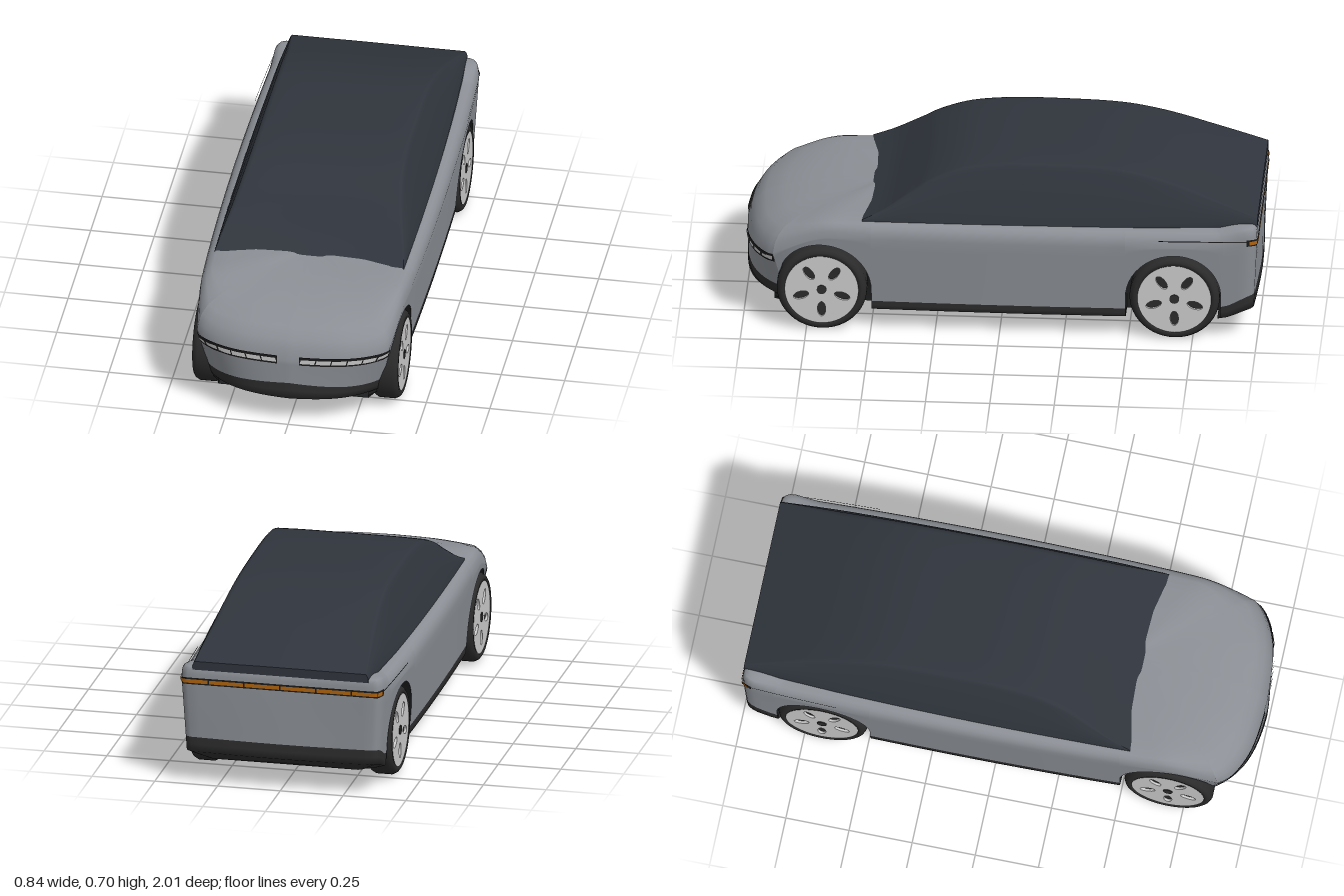
import * as THREE from 'three';

const { clamp, lerp, smoothstep } = THREE.MathUtils;
const material = (color) => new THREE.MeshStandardMaterial({ color, side: THREE.DoubleSide });
const paint = material(0x8c9096), glass = material(0x30353d), trim = material(0x2e2e2e);
const rubber = material(0x2b2b2b), floorMat = material(0x1e1f20), alloy = material(0xcccccc);
const lamp = material(0xe6e6e6), amber = material(0xb0640f), black = material(0x1a1a1a);

const ARCHES = [0.69, -0.68], ARCH_R = 0.19, AXLE_Y = 0.175, WELL_X = 0.295;

// Surface through a list of columns of points
function grid(name, cols, mat, skip = () => false) {
  const n = cols[0].length, index = [];
  for (let i = 0; i < cols.length - 1; i++) {
    if (skip(i)) continue;
    for (let j = 0; j < n - 1; j++) {
      const a = i * n + j, b = a + n;
      index.push(a, b, b + 1, a, b + 1, a + 1);
    }
  }
  const g = new THREE.BufferGeometry();
  g.setAttribute('position', new THREE.Float32BufferAttribute(cols.flat(2), 3));
  g.setIndex(index);
  g.computeVertexNormals();
  const mesh = new THREE.Mesh(g, mat);
  mesh.name = name;
  return mesh;
}

// Plan outline: rounded nose, bowed sides, squared tail
const sideX = (z) => {
  const t = (z + 0.15) / 0.95;
  return 0.422 - 0.023 * t * t - 0.008 * t ** 8;
};
const spline = (pts) => new THREE.SplineCurve(pts.map(([x, z]) => new THREE.Vector2(x, z)));
const nose = spline([[0, 1], [0.12, 0.993], [0.21, 0.98], [0.28, 0.957], [0.33, 0.93], [0.362, 0.905], [0.38, 0.88]]);

const frontW = (z) => smoothstep(z, 0.65, 0.99);
const rearW = (z) => smoothstep(-z, 0.85, 1);
const blend = (z, side, front, rear) => lerp(lerp(side, front, frontW(z)), rear, rearW(z));

// Moves a plan point towards the car's spine
function inset(x, z, d) {
  const sz = clamp(z, -0.6, 0.45), len = Math.hypot(x, z - sz) || 1, k = Math.min(1, d / len);
  return [x * (1 - k), lerp(z, sz, k)];
}
// Point on the flank at height y, raised by out
function skin(x, z, y, out = 0) {
  const t = Math.max(0, (blend(z, 0.4, 0.29, 0.42) - y) / 0.3);
  const [px, pz] = inset(x, z, t * (x / 0.37) ** 2 * (0.02 + 0.09 * frontW(z)) - out);
  return [px, y, pz];
}

// Shoulder rows: inset and height at side, front and rear
const SHOULDER = [
  [0.004, 0.425, 0.012, 0.335, 0, 0.45], [0.012, 0.442, 0.032, 0.368, 0.004, 0.47],
  [0.025, 0.455, 0.07, 0.402, 0.012, 0.48], [0.045, 0.463, 0.15, 0.43, 0.03, 0.484],
  [0.1, 0.468, 0.25, 0.45, 0.06, 0.485], [0.2, 0.473, 0.38, 0.464, 0.12, 0.486],
  [9, 0.475, 9, 0.472, 9, 0.487],
];

// Samples along half the outline, front to rear
function outline() {
  const half = [];
  const add = (x, z, arch = 0) => {
    const tail = smoothstep(-z, 0.87, 1);
    let low = z >= 0.88 ? 0.16 + 0.03 * (1 - x / 0.38) : lerp(z < -0.86 ? 0.14 : 0.125, 0.19, tail);
    if (arch) low = arch;
    half.push({ x, z, low, arch: !!arch, bot: 0.09 + 0.03 * frontW(z) ** 2 + 0.04 * tail });
  };
  for (let i = 0; i <= 28; i++) { const p = nose.getPointAt(i / 28); add(p.x, p.y); }
  ARCHES.forEach((c, k) => {
    if (k) add(sideX(c + ARCH_R), c + ARCH_R);
    for (let i = 0; i <= 24; i++) {
      const a = (i / 24) * Math.PI, z = c + ARCH_R * Math.cos(a);
      add(sideX(z), z, AXLE_Y + ARCH_R * Math.sin(a));
    }
    add(sideX(c - ARCH_R), c - ARCH_R);
    if (!k) for (let z = 0.4; z > -0.45; z -= 0.1) add(sideX(z), z);
  });
  for (const z of [-0.9, -0.93, -0.955]) add(sideX(z), z);
  for (const [x, z] of [[0.398, -0.975], [0.388, -0.991], [0.37, -1], [0.33, -1], [0.2, -1], [0.1, -1], [0, -1]]) add(x, z);
  return half;
}

function bodyColumn({ x, z, low }) {
  const top = blend(z, 0.4, 0.29, 0.42), col = [];
  for (let j = 0; j <= 6; j++) col.push(skin(x, z, lerp(low, top, j / 6)));
  for (const [si, sy, fi, fy, ri, ry] of SHOULDER) {
    const [px, pz] = inset(x, z, blend(z, si, fi, ri));
    col.push([px, blend(z, sy, fy, ry), pz]);
  }
  return col;
}

const underEdge = ({ x, z, bot }) => {
  const p = skin(x, z, bot), [px, pz] = inset(p[0], p[2], 0.02 + 0.08 * clamp((Math.abs(z) - 0.88) / 0.1, 0, 1));
  return [px, 0.08, pz];
};

// Fastback glasshouse lofted along the roof line
function makeCabin() {
  const roof = spline([[0.535, 0.467], [0.45, 0.51], [0.35, 0.577], [0.27, 0.627], [0.15, 0.672], [0, 0.692],
    [-0.15, 0.695], [-0.4, 0.688], [-0.55, 0.665], [-0.7, 0.622], [-0.85, 0.565], [-1, 0.505]]).getPoints(55);
  const cols = roof.map(({ x: z, y }) => {
    const base = 0.465 + 0.02 * smoothstep(-z, 0, 1), h = Math.max(0, y - base), r = Math.min(1, h / 0.12);
    const b = 0.378 - (z > 0 ? 0.02 : 0.028) * z * z, xr = b - 0.34 * h;
    const half = [[b, base - 0.015], [b, base], [lerp(b, xr, 0.35) + 0.004 * r, base + h * 0.32],
      [lerp(b, xr, 0.7) + 0.004 * r, base + h * 0.64], [xr + 0.006 * r, y - 0.032 * r], [xr, y - 0.016 * r],
      [xr - 0.008 * r, y - 0.008 * r], [xr - 0.022 * r, y - 0.004 * r], [0.2, y - 0.001], [0.1, y], [0, y]];
    const bow = (x) => z - 0.02 * (1 - (x / b) ** 2) * smoothstep(z, 0, 0.5);
    const right = half.map(([x, v]) => [x, v, bow(x)]);
    return [...right, ...right.slice(0, -1).reverse().map(([x, v, w]) => [-x, v, w])];
  });
  const last = cols[cols.length - 1];
  const tail = grid('cabinTail', last.slice(0, 11).map(([x, y, z]) => [[x, y, z], [-x, y, z]]), glass);
  return [grid('cabin', cols, glass), tail];
}

// Thin band laid on the flank along a plan curve
function band(name, curve, u0, u1, y0, y1, out, mat, slant = 0, side = 1) {
  const cols = [], steps = Math.max(3, Math.ceil((u1 - u0) * 40));
  for (let i = 0; i <= steps; i++) {
    const u = lerp(u0, u1, i / steps);
    cols.push([[y0, 0], [y1, slant]].map(([y, s]) => {
      const p = curve.getPointAt(clamp(u + s, 0, 1)), q = skin(p.x, p.y, y, out);
      return [q[0] * side, q[1], q[2]];
    }));
  }
  return grid(name, cols, mat);
}

// Wheel facing +x
function makeWheel() {
  const wheel = new THREE.Group();
  const add = (name, geo, mat, x) => {
    const m = new THREE.Mesh(geo, mat);
    m.name = name;
    m.position.x = x;
    wheel.add(m);
  };
  const profile = [[0, -0.052], [0.15, -0.052], [0.166, -0.046], [0.175, -0.03], [0.175, 0.03], [0.167, 0.045],
    [0.157, 0.052], [0.144, 0.052], [0.14, 0.038], [0, 0.038]].map(([r, y]) => new THREE.Vector2(r, y));
  add('tyre', new THREE.LatheGeometry(profile, 48).rotateZ(-Math.PI / 2), rubber, 0);
  const face = new THREE.Shape().absarc(0, 0, 0.143, 0, Math.PI * 2);
  for (let i = 0; i < 5; i++) {
    const a = -Math.PI / 2 + (i * Math.PI * 2) / 5;
    face.holes.push(new THREE.Path().absellipse(0.084 * Math.cos(a), 0.084 * Math.sin(a), 0.031, 0.016, 0, Math.PI * 2, true, a));
  }
  const rim = new THREE.ExtrudeGeometry(face, { depth: 0.01, bevelEnabled: false, curveSegments: 24 });
  add('rim', rim.rotateY(Math.PI / 2), alloy, 0.039);
  add('hub', new THREE.CylinderGeometry(0.019, 0.019, 0.006, 20).rotateZ(-Math.PI / 2), trim, 0.049);
  return wheel;
}

export function createModel() {
  const car = new THREE.Group();
  car.name = 'car';
  const half = outline();
  const loop = [...half.slice(1).reverse().map((s) => ({ ...s, x: -s.x })), ...half];

  car.add(grid('body', loop.map(bodyColumn), paint), ...makeCabin());

  // Dark bumpers and sills, open at the arches
  const sill = loop.map((s) => [s.low, lerp(s.low, s.bot, 0.5), s.bot].map((y) => skin(s.x, s.z, y)).concat([underEdge(s)]));
  car.add(grid('sillAndBumpers', sill, trim, (i) => loop[i].arch || loop[i + 1].arch));
  const floor = half.map((s) => {
    const [x, y, z] = s.arch ? [WELL_X, 0.08, s.z] : underEdge(s);
    return [[-x, y, z], [x, y, z]];
  });
  car.add(grid('floor', floor, floorMat));

  for (const side of [1, -1]) {
    for (const c of ARCHES) {
      // Wheel well
      const arc = [[c + ARCH_R, 0.09]];
      for (let i = 0; i <= 24; i++) {
        const a = (i / 24) * Math.PI;
        arc.push([c + ARCH_R * Math.cos(a), AXLE_Y + ARCH_R * Math.sin(a)]);
      }
      arc.push([c - ARCH_R, 0.09]);
      const well = arc.map(([z, y]) => {
        const [x, , pz] = skin(sideX(z), z, y);
        return [[x * side, y, pz], [WELL_X * side, y, z], [WELL_X * side, 0.08, z]];
      });
      car.add(grid('wheelWell', well, floorMat));

      const wheel = makeWheel();
      wheel.name = c > 0 ? 'frontWheel' : 'rearWheel';
      wheel.position.set(0.353 * side, AXLE_Y, c);
      if (side < 0) wheel.rotation.y = Math.PI;
      car.add(wheel);
    }
    // Headlight: dark recess with slanted light segments
    car.add(band('headlightSurround', nose, 0.105, 1, 0.275, 0.312, 0.003, black, 0, side));
    for (let i = 0; i < 6; i++) {
      const u = 0.11 + i * 0.147;
      car.add(band('headlightSegment', nose, u, u + 0.135, 0.284, 0.302, 0.006, lamp, 0.012, side));
    }
    // Crease line along the rear quarter
    const crease = spline([-0.62, -0.75, -0.87, -0.96].map((z) => [sideX(z), z]));
    car.add(band('rearCrease', crease, 0, 1, 0.428, 0.432, 0.002, trim, 0, side));
  }

  // Full-width tail light
  const corner = [[0.402, -0.96], [0.398, -0.975], [0.388, -0.991], [0.37, -1], [0.2, -1]];
  const tail = spline([...corner, [0, -1], ...corner.map(([x, z]) => [-x, z]).reverse()]);
  car.add(band('tailLightSurround', tail, 0, 1, 0.41, 0.437, 0.002, black));
  for (let i = 0; i < 6; i++) {
    car.add(band('tailLightSegment', tail, 0.01 + i * 0.164, 0.01 + i * 0.164 + 0.158, 0.416, 0.431, 0.005, amber));
  }
  return car;
}
